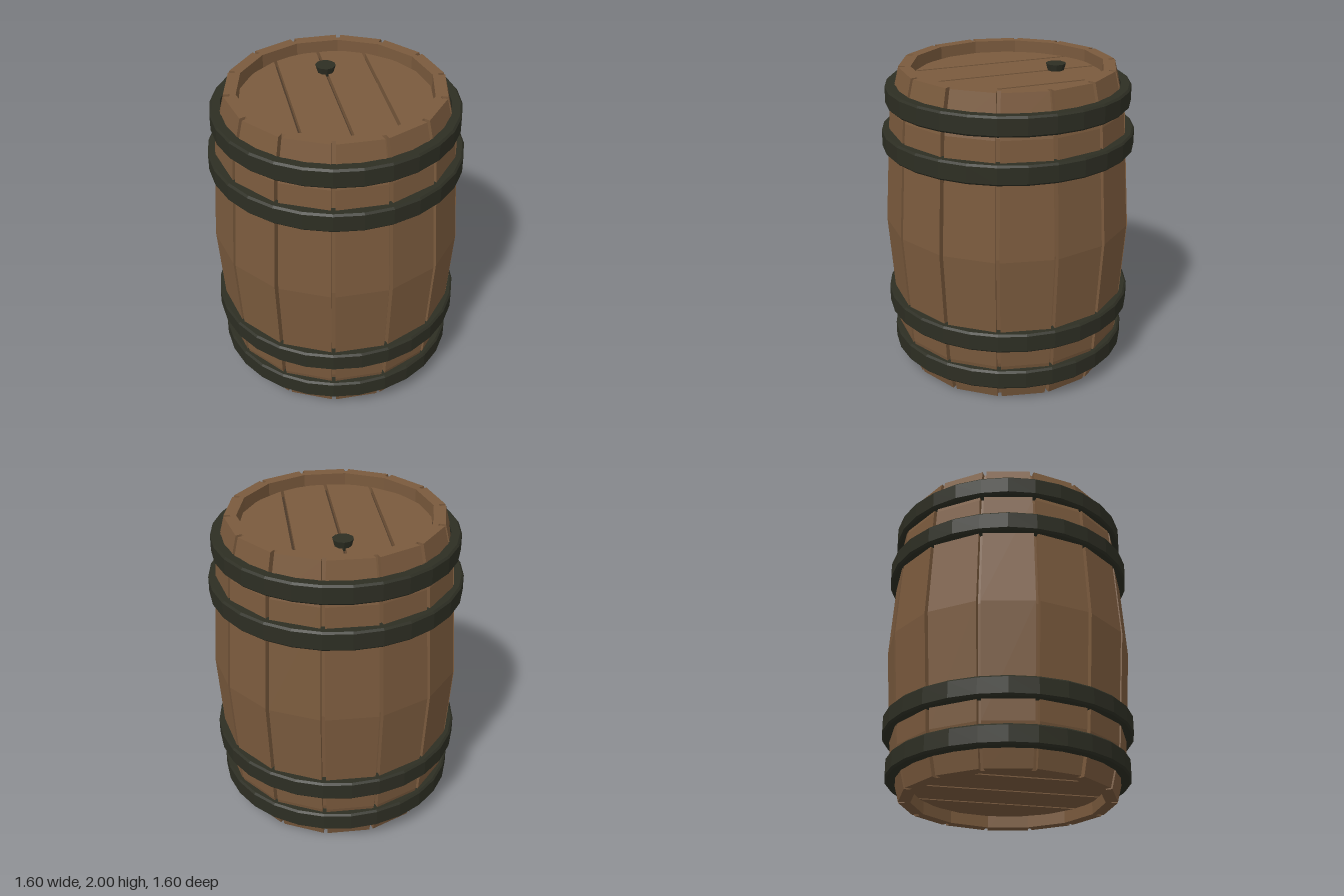
import * as THREE from 'three';

const mat = (name, color) => {
  const m = new THREE.MeshStandardMaterial({ color, flatShading: true });
  m.name = name;
  return m;
};

const STAVES = 14;
const STEP = (Math.PI * 2) / STAVES;
const INNER = 0.605;
// Outer barrel profile: [radius, height]
const PROFILE = [[0.68, 0], [0.745, 0.26], [0.795, 1], [0.745, 1.74], [0.68, 2]];

// One stave: cross-sections with a shallow groove at both seams, capped at the ends
function staveGeometry() {
  const half = STEP / 2, groove = 0.013, depth = 0.04;
  const section = (r) => {
    const floor = r - depth, g = groove / r;
    const right = [[r, half - g], [floor, half - g], [floor, half], [INNER, half]];
    const left = right.map(([q, a]) => [q, -a]).reverse();
    return [...right, ...left].map(([q, a]) => [q * Math.sin(a), q * Math.cos(a)]);
  };
  const rows = PROFILE.map(([r, y]) => section(r).map(([x, z]) => [x, y, z]));
  const pos = [];
  const tri = (a, b, c) => pos.push(...a, ...b, ...c);
  for (let k = 0; k < rows.length - 1; k++) {
    const lo = rows[k], hi = rows[k + 1], n = lo.length;
    for (let i = 0; i < n; i++) {
      const j = (i + 1) % n;
      tri(lo[i], lo[j], hi[j]);
      tri(lo[i], hi[j], hi[i]);
    }
  }
  const bottom = rows[0], top = rows[rows.length - 1];
  const flat = top.map(([x, , z]) => new THREE.Vector2(x, -z));
  for (const [a, b, c] of THREE.ShapeUtils.triangulateShape(flat, [])) {
    tri(top[a], top[b], top[c]);
    tri(bottom[a], bottom[c], bottom[b]);
  }
  const geo = new THREE.BufferGeometry();
  geo.setAttribute('position', new THREE.Float32BufferAttribute(pos, 3));
  geo.computeVertexNormals();
  return geo;
}

// Lid plank between x0 and x1, its ends cut to a faceted circle
function plankGeometry(x0, x1, r, thick) {
  const a0 = Math.acos(x0 / r), a1 = Math.acos(x1 / r), arc = [];
  for (let i = 0; i <= 3; i++) {
    const a = a0 + ((a1 - a0) * i) / 3;
    arc.push(new THREE.Vector2(r * Math.cos(a), r * Math.sin(a)));
  }
  const back = arc.filter((p) => p.y > 1e-4).reverse().map((p) => new THREE.Vector2(p.x, -p.y));
  const geo = new THREE.ExtrudeGeometry(new THREE.Shape([...arc, ...back]), { depth: thick, bevelEnabled: false });
  return geo.rotateX(-Math.PI / 2);
}

// Bevelled iron band, closed in section
function hoopGeometry(r, y0, y1, inner) {
  const b = 0.012;
  const pts = [
    [inner, y0], [r - b, y0], [r, y0 + b], [r, y1 - b], [r - b, y1], [inner, y1], [inner, y0],
  ].map(([x, y]) => new THREE.Vector2(x, y));
  return new THREE.LatheGeometry(pts, STAVES * 2);
}

export function createModel() {
  const wood = mat('wood', 0x7a5a3d);
  const gap = mat('dark gap wood', 0x4a3828);
  const iron = mat('dark iron', 0x2d2e23);
  const model = new THREE.Group();
  model.name = 'barrel';
  const add = (parent, name, geo, material) => {
    const mesh = new THREE.Mesh(geo, material);
    mesh.name = name;
    parent.add(mesh);
    return mesh;
  };

  // Staves
  const staves = new THREE.Group();
  staves.name = 'staves';
  model.add(staves);
  const staveGeo = staveGeometry();
  for (let i = 0; i < STAVES; i++) add(staves, 'stave', staveGeo, wood).rotation.y = i * STEP;

  // Recessed heads: four planks over a dark backing disc
  const r = 0.595, thick = 0.04, half = 0.01;
  const seams = [-r, -0.29, 0, 0.29, r];
  for (const [name, y, backY] of [['lid', 1.885, 1.88], ['base', 0.075, 0.12]]) {
    const head = new THREE.Group();
    head.name = name;
    model.add(head);
    for (let i = 0; i < 4; i++) {
      const x0 = seams[i] + (i > 0 ? half : 0);
      const x1 = seams[i + 1] - (i < 3 ? half : 0);
      add(head, name + 'Plank', plankGeometry(x0, x1, r, thick), wood).position.y = y;
    }
    add(head, name + 'Backing', new THREE.CylinderGeometry(0.61, 0.61, 0.01, 28), gap).position.y = backY;
  }

  // Hoops
  for (const [radius, y0, y1, inner] of [
    [0.77, 0.11, 0.235, 0.705], [0.8, 0.39, 0.515, 0.73],
    [0.8, 1.485, 1.61, 0.73], [0.77, 1.765, 1.89, 0.705],
  ]) add(model, 'hoop', hoopGeometry(radius, y0, y1, inner), iron);

  // Bung on the lid
  add(model, 'bung', new THREE.CylinderGeometry(0.065, 0.048, 0.06, 10), iron).position.set(0, 1.938, -0.325);

  return model;
}
